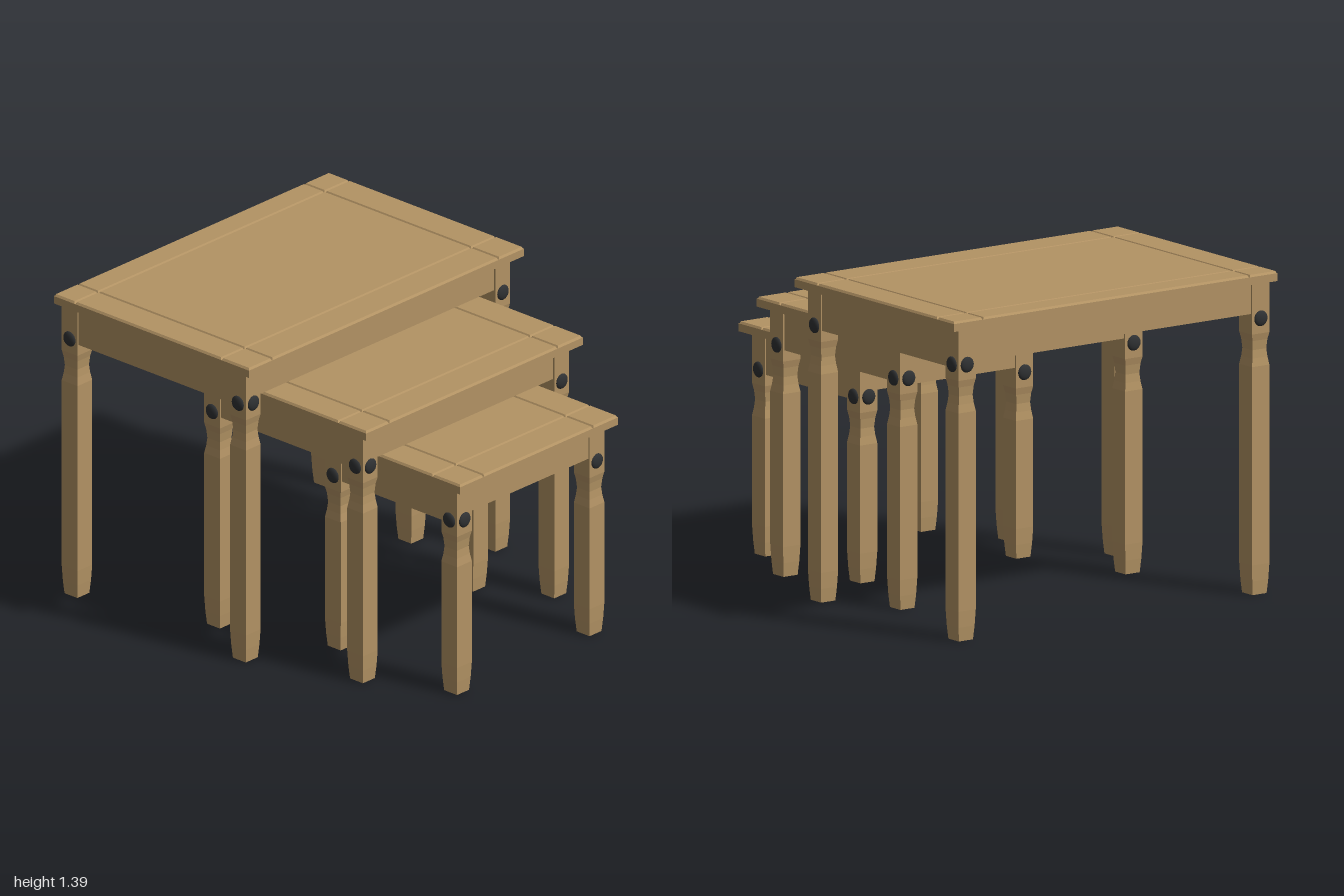
import * as THREE from 'three';

const LEG = 0.0455; // half width of a leg
const SHIFT = -0.004; // legs and grooves sit slightly off centre

function flat(geometry) {
  const g = geometry.toNonIndexed();
  g.computeVertexNormals();
  return g;
}

// Index of the grid line a box vertex lies on (box of size 1, n segments)
const lineOf = (v, n) => Math.round((v + 0.5) * n);

// Slab with eased top edges and V grooves cut both ways
function topGeometry(halfW, zBack, zFront, yLow, yHigh) {
  const e = 0.007, w = 0.007, depth = 0.009;
  const lines = (a, b, g1, g2) => [a, a + e, g1 - w, g1, g1 + w, g2 - w, g2, g2 + w, b - e, b];
  const xs = lines(-halfW, halfW, -halfW + 0.15 + SHIFT, halfW - 0.15 + SHIFT);
  const zs = lines(zBack, zFront, zBack + 0.12, zFront - 0.16);
  const sunk = [0, 3, 6, 9];
  const g = new THREE.BoxGeometry(1, 1, 1, 9, 1, 9);
  const p = g.attributes.position;
  for (let i = 0; i < p.count; i++) {
    const a = lineOf(p.getX(i), 9), b = lineOf(p.getZ(i), 9);
    const low = sunk.includes(a) || sunk.includes(b);
    const y = p.getY(i) < 0 ? yLow : yHigh - (low ? depth : 0);
    p.setXYZ(i, xs[a], y, zs[b]);
  }
  return flat(g);
}

// Square leg: block, waisted neck, straight shaft and tapered foot
function legGeometry(yTop, yStud) {
  const rows = [
    [0, 0.037], [0.06, 0.042], [0.13, LEG], [yStud - 0.205, LEG], [yStud - 0.17, 0.0395],
    [yStud - 0.135, 0.036], [yStud - 0.095, 0.0395], [yStud - 0.065, LEG], [yTop, LEG],
  ];
  const n = rows.length - 1;
  const g = new THREE.BoxGeometry(1, 1, 1, 1, n, 1);
  const p = g.attributes.position;
  for (let i = 0; i < p.count; i++) {
    const [y, half] = rows[lineOf(p.getY(i), n)];
    p.setXYZ(i, Math.sign(p.getX(i)) * half, y, Math.sign(p.getZ(i)) * half);
  }
  return flat(g);
}

export function createModel() {
  const wood = new THREE.MeshStandardMaterial({ color: 0xb39364 });
  wood.name = 'waxed pine';
  const iron = new THREE.MeshStandardMaterial({ color: 0x2f3133 });
  iron.name = 'dark iron';

  // Domed stud, facing +z
  const studGeo = new THREE.SphereGeometry(0.034, 20, 8, 0, Math.PI * 2, 0, Math.PI / 2);
  studGeo.rotateX(Math.PI / 2);
  studGeo.scale(1, 1, 0.4);

  function add(parent, name, geometry, material, x = 0, y = 0, z = 0) {
    const mesh = new THREE.Mesh(geometry, material);
    mesh.name = name;
    mesh.position.set(x, y, z);
    parent.add(mesh);
    return mesh;
  }

  function makeTable(name, halfW, zBack, zFront, yHigh) {
    const table = new THREE.Group();
    table.name = name;
    const yLow = yHigh - 0.043, yStud = yHigh - 0.197;
    add(table, 'tableTop', topGeometry(halfW, zBack, zFront, yLow, yHigh), wood);

    const legX = halfW - 0.079;
    const legZ = { back: zBack + 0.018 + LEG, front: zFront - 0.045 - LEG };
    const legGeo = legGeometry(yLow, yStud);
    const inset = LEG - 0.022; // aprons stand a little behind the leg faces

    for (const end of ['back', 'front']) {
      const s = end === 'front' ? 1 : -1;
      // Shallow apron across the end
      add(table, end + 'Apron', new THREE.BoxGeometry(2 * legX, 0.131, 0.03), wood,
        SHIFT, yLow - 0.0655, legZ[end] + s * inset);
      for (const side of [-1, 1]) {
        const x = SHIFT + side * legX;
        add(table, end + 'Leg', legGeo, wood, x, 0, legZ[end]);
        // One stud on each outer face
        const stud = add(table, end + 'Stud', studGeo, iron, x, yStud, legZ[end] + s * LEG);
        stud.rotation.y = s > 0 ? 0 : Math.PI;
        const sideStud = add(table, 'sideStud', studGeo, iron, x + side * LEG, yStud, legZ[end]);
        sideStud.rotation.y = side * Math.PI / 2;
      }
    }
    // Deeper aprons along the sides
    for (const side of [-1, 1]) {
      add(table, 'sideApron', new THREE.BoxGeometry(0.03, 0.171, legZ.front - legZ.back), wood,
        SHIFT + side * (legX + inset), yLow - 0.0855, (legZ.front + legZ.back) / 2);
    }
    return table;
  }

  const model = new THREE.Group();
  model.name = 'nestOfTables';
  model.add(
    makeTable('largeTable', 0.851, -1, 0.122, 1.387),
    makeTable('mediumTable', 0.671, -0.348, 0.628, 1.192),
    makeTable('smallTable', 0.489, 0.177, 1, 0.998),
  );
  return model;
}
